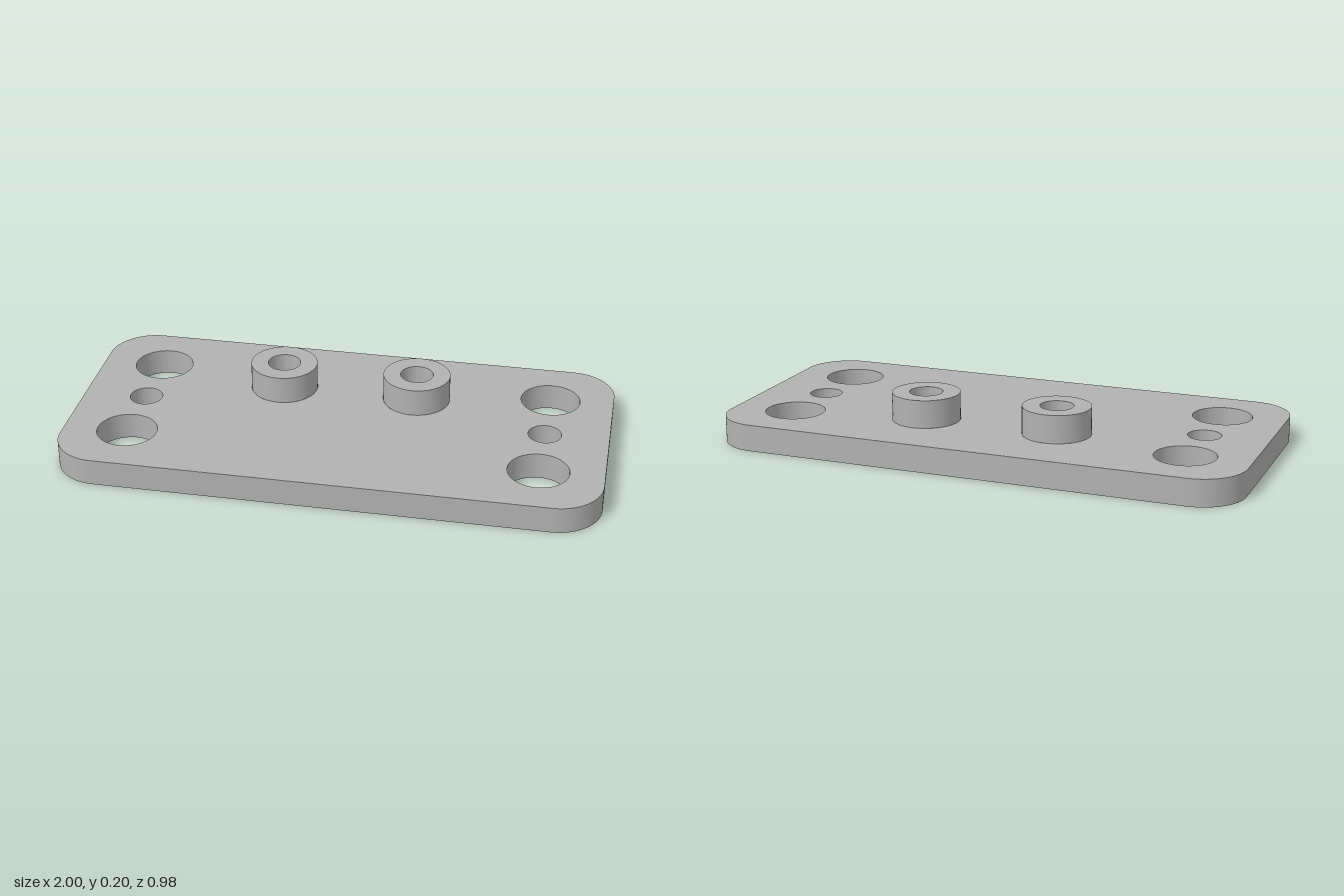
import * as THREE from 'three';
import { toCreasedNormals } from 'three/addons/utils/BufferGeometryUtils.js';

const HALF_X = 1, HALF_Z = 0.49, CORNER = 0.17, THICK = 0.1;
const BOSS = { x: 0.257, z: -0.173, r: 0.127, bore: 0.062, top: 0.205, sink: 0.066 };

// Rounded rectangle outline; shape y becomes -z once laid flat
function plateOutline() {
  const s = new THREE.Shape();
  const x = HALF_X - CORNER, y = HALF_Z - CORNER;
  s.absarc(x, y, CORNER, 0, Math.PI / 2);
  s.absarc(-x, y, CORNER, Math.PI / 2, Math.PI);
  s.absarc(-x, -y, CORNER, Math.PI, Math.PI * 1.5);
  s.absarc(x, -y, CORNER, Math.PI * 1.5, Math.PI * 2);
  s.closePath();
  return s;
}

function addHole(shape, x, z, r) {
  const hole = new THREE.Path();
  hole.absarc(x, -z, r, 0, Math.PI * 2, true);
  shape.holes.push(hole);
}

export function createModel() {
  const model = new THREE.Group();
  model.name = 'mountingPlate';
  const grey = new THREE.MeshStandardMaterial({ color: 0xb2b2b2 });
  grey.name = 'grey';

  // Flat plate with mounting holes, and openings for the bosses
  const outline = plateOutline();
  for (const side of [-1, 1]) {
    addHole(outline, side * 0.762, -0.256, 0.112);
    addHole(outline, side * 0.762, 0, 0.062);
    addHole(outline, side * 0.762, 0.256, 0.112);
    addHole(outline, side * BOSS.x, BOSS.z, BOSS.r);
  }
  const plateGeo = new THREE.ExtrudeGeometry(outline, { depth: THICK, bevelEnabled: false, curveSegments: 48 });
  plateGeo.rotateX(-Math.PI / 2);
  const plate = new THREE.Mesh(toCreasedNormals(plateGeo, 0.5), grey);
  plate.name = 'plate';
  model.add(plate);

  // Bosses: outer wall, rim, bore and the countersink opening underneath
  const profile = [
    [BOSS.r, THICK], [BOSS.r, BOSS.top], [BOSS.bore, BOSS.top], [BOSS.bore, BOSS.sink], [BOSS.r, 0],
  ].map(([r, y]) => new THREE.Vector2(r, y));
  const bossGeo = toCreasedNormals(new THREE.LatheGeometry(profile, 48), 0.5);
  for (const side of [-1, 1]) {
    const boss = new THREE.Mesh(bossGeo, grey);
    boss.name = side > 0 ? 'leftBoss' : 'rightBoss';
    boss.position.set(side * BOSS.x, 0, BOSS.z);
    model.add(boss);
  }
  return model;
}
